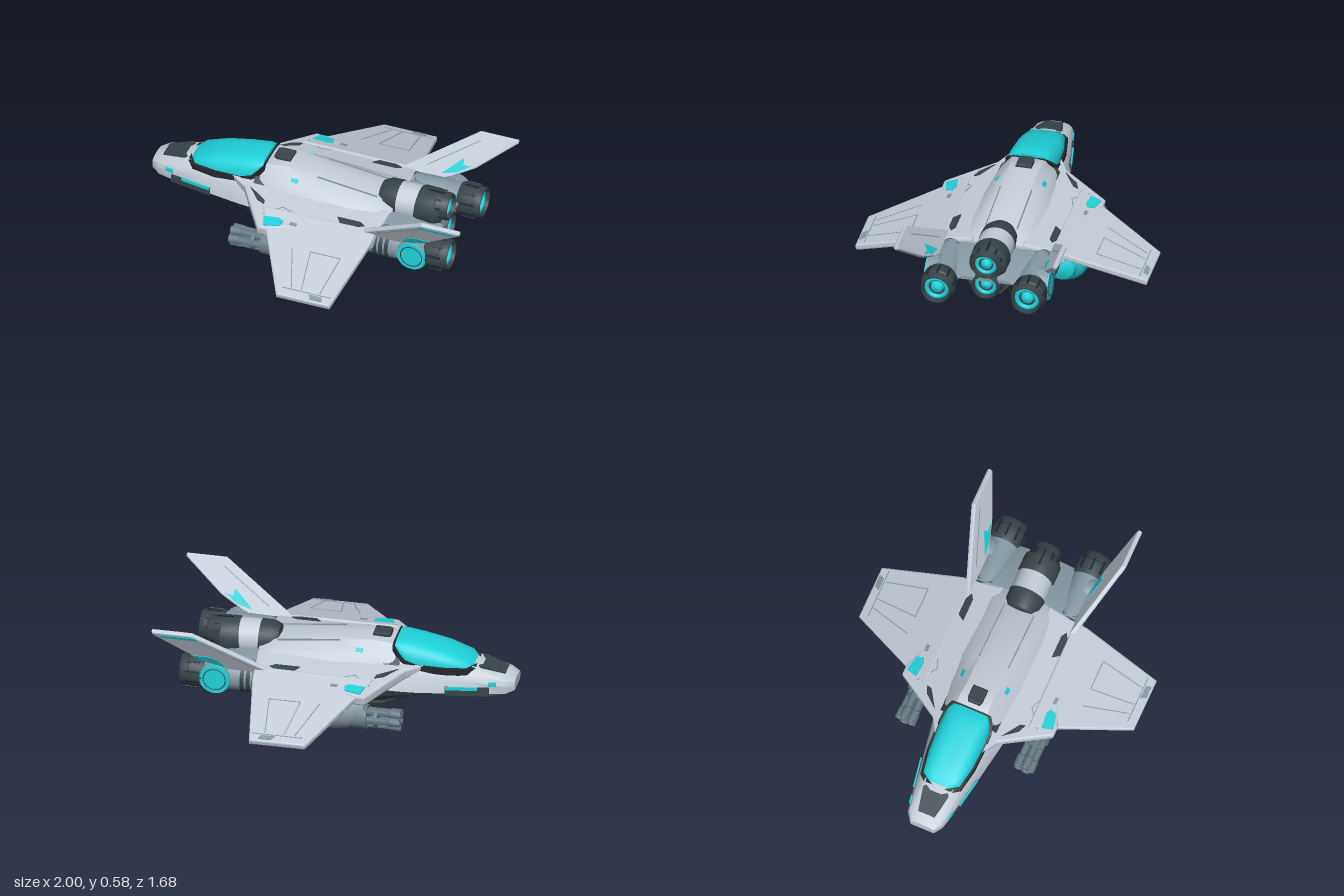
import * as THREE from 'three';
import { toCreasedNormals } from 'three/addons/utils/BufferGeometryUtils.js';

const mat = (name, color) => {
  const m = new THREE.MeshStandardMaterial({ color });
  m.name = name;
  return m;
};
const HULL = mat('pale grey hull', 0xc4cdd8);
const GREY = mat('blue grey trim', 0x879aa5);
const STEEL = mat('gun steel', 0x697b85);
const DARK = mat('dark underside', 0x37444a);
const BLACK = mat('black seams', 0x20272b);
const TEAL = mat('teal glass', 0x20d2dc);

function add(parent, name, geo, material, x = 0, y = 0, z = 0) {
  const m = new THREE.Mesh(geo, material);
  m.name = name;
  m.position.set(x, y, z);
  parent.add(m);
  return m;
}

// Closed skin along x; each half ring runs bottom to top as [z, y]
function loft(stations, crease = 0.5) {
  const pos = [], idx = [];
  const n = stations[0][1].length * 2;
  for (const [x, half] of stations) {
    for (const [z, y] of half) pos.push(x, y, z);
    for (const [z, y] of [...half].reverse()) pos.push(x, y, -z);
  }
  for (let i = 0; i < stations.length - 1; i++)
    for (let j = 0; j < n; j++) {
      const a = i * n + j, b = i * n + (j + 1) % n;
      idx.push(a, a + n, b, b, a + n, b + n);
    }
  const e = (stations.length - 1) * n;
  for (let j = 1; j < n - 1; j++) idx.push(0, j, j + 1, e, e + j + 1, e + j);
  const g = new THREE.BufferGeometry();
  g.setAttribute('position', new THREE.Float32BufferAttribute(pos, 3));
  g.setIndex(idx);
  return toCreasedNormals(g, crease);
}

// Turned part with its axis on x; profile of [x, radius]
function turned(profile, sides = 28) {
  const g = new THREE.LatheGeometry(profile.map(([x, r]) => new THREE.Vector2(r, x)), sides);
  return toCreasedNormals(g.rotateZ(-Math.PI / 2), 0.55);
}

// Flat plate from an x/z outline, centred on y = 0
function plate(points, t, bevel = 0) {
  const shape = new THREE.Shape(points.map(p => new THREE.Vector2(...p)));
  const g = new THREE.ExtrudeGeometry(shape, {
    depth: t - 2 * bevel, bevelEnabled: bevel > 0, bevelSize: bevel,
    bevelThickness: bevel, bevelOffset: -bevel, bevelSegments: 2,
  });
  return g.translate(0, 0, bevel - t / 2).rotateX(Math.PI / 2);
}

// Thin line between two x/z points
function seam(parent, x1, z1, x2, z2, y) {
  const m = add(parent, 'panelSeam', new THREE.BoxGeometry(Math.hypot(x2 - x1, z2 - z1), 0.003, 0.005),
    GREY, (x1 + x2) / 2, y, (z1 + z2) / 2);
  m.rotation.y = -Math.atan2(z2 - z1, x2 - x1);
}

// Engine exhaust ending at x = 0
function nozzle(parent, name, r, len, x, y, z) {
  const g = new THREE.Group();
  g.name = name;
  g.position.set(x, y, z);
  parent.add(g);
  add(g, 'nozzleShell', turned([[-len, 0], [-len, r * 0.88], [-len * 0.85, r], [-len * 0.35, r], [-len * 0.3, r * 0.94],
    [-0.01, r * 0.92], [0, r * 0.86], [0, r * 0.78], [-0.05, r * 0.7], [-0.05, 0]]), DARK);
  add(g, 'glowRing', new THREE.TorusGeometry(r * 0.6, r * 0.14, 8, 28).rotateY(Math.PI / 2), TEAL, -0.03);
  add(g, 'glowCore', turned([[-0.05, r * 0.4], [-0.03, r * 0.34], [-0.015, 0]]), TEAL);
  for (let i = 0; i < 10; i++) {
    const a = i * Math.PI / 5;
    const rib = add(g, 'nozzleRib', new THREE.BoxGeometry(len * 0.55, 0.006, 0.012), BLACK,
      -len * 0.5, Math.cos(a) * r, Math.sin(a) * r);
    rib.rotation.x = a;
  }
}

function buildSide(side) {
  // Wing root and main wing, sloping down
  const root = new THREE.Group();
  root.name = 'wingRoot';
  root.position.y = 0.35;
  root.rotation.x = 0.2;
  side.add(root);
  add(root, 'rootArmour', plate([[-0.5, 0.14], [-0.4, 0.2], [-0.22, 0.47], [-0.16, 0.47], [-0.04, 0.42],
    [0.44, 0.39], [0.46, 0.14]], 0.066, 0.014), HULL);
  add(root, 'rootLight', plate([[-0.21, 0.385], [-0.12, 0.375], [-0.09, 0.39], [-0.1, 0.43], [-0.19, 0.45]], 0.009),
    TEAL, 0, 0.034);
  add(root, 'rootMark', plate([[-0.05, 0.385], [-0.01, 0.385], [-0.01, 0.405], [-0.05, 0.405]], 0.008), GREY, 0, 0.034);
  add(root, 'rootVent', plate([[0.19, 0.27], [0.33, 0.27], [0.36, 0.29], [0.32, 0.31], [0.22, 0.31]], 0.009), DARK, 0, 0.034);
  add(root, 'frontVent', plate([[-0.36, 0.2], [-0.25, 0.27], [-0.24, 0.3], [-0.29, 0.28]], 0.009), DARK, 0, 0.034);
  seam(root, -0.23, 0.37, -0.13, 0.29, 0.033);
  seam(root, -0.13, 0.29, -0.07, 0.31, 0.033);

  const wing = new THREE.Group();
  wing.name = 'wing';
  wing.position.y = 0.415;
  wing.rotation.x = 0.3217;
  side.add(wing);
  add(wing, 'wingPanel', plate([[-0.24, 0.33], [-0.17, 0.48], [0.04, 0.885], [0.36, 0.885], [0.44, 0.4], [0.44, 0.32]],
    0.038, 0.01), HULL);
  add(wing, 'tipMark', plate([[0.22, 0.84], [0.3, 0.84], [0.31, 0.87], [0.24, 0.87]], 0.006), GREY, 0, 0.02);
  for (const y of [0.019, -0.019]) {
    seam(wing, 0.02, 0.56, 0.11, 0.82, y);
    seam(wing, 0.13, 0.56, 0.17, 0.82, y);
    seam(wing, 0.31, 0.56, 0.28, 0.82, y);
    seam(wing, 0.13, 0.56, 0.31, 0.56, y);
    seam(wing, 0.06, 0.83, 0.35, 0.83, y);
  }

  // Canted tail fin
  const fin = new THREE.Group();
  fin.name = 'tailFin';
  fin.position.set(0, 0.31, 0.315);
  fin.rotation.x = -1.056;
  side.add(fin);
  add(fin, 'finPanel', plate([[0.33, -0.01], [0.77, 0.303], [1, 0.303], [1, 0.282], [0.78, 0.09], [0.66, 0.02],
    [0.58, -0.03]], 0.028, 0.008), HULL);
  add(fin, 'finTipStripe', plate([[0.76, 0.285], [0.98, 0.285], [0.93, 0.262], [0.73, 0.262]], 0.005), TEAL, 0, -0.014);
  add(fin, 'finOuterMark', plate([[0.6, 0.01], [0.65, 0.085], [0.7, 0.105], [0.79, 0.105], [0.73, 0.06], [0.66, 0.03]],
    0.005), TEAL, 0, -0.014);
  add(fin, 'finInnerMark', plate([[0.59, 0.02], [0.7, 0.13], [0.71, 0.09], [0.76, 0.1], [0.68, 0.045]], 0.005), TEAL, 0, 0.014);
  seam(fin, 0.45, 0.05, 0.75, 0.25, -0.014);
  seam(fin, 0.5, 0.05, 0.78, 0.25, 0.014);

  // Side engine with a round intake cap
  add(side, 'engineNacelle', turned([[0.25, 0], [0.25, 0.05], [0.36, 0.085], [0.6, 0.09], [0.74, 0.09], [0.76, 0]]),
    GREY, 0, 0.24, 0.26);
  for (const x of [0.44, 0.475, 0.51])
    add(side, 'nacelleBand', new THREE.CylinderGeometry(0.092, 0.092, 0.022, 28).rotateZ(Math.PI / 2), DARK, x, 0.235, 0.26);
  nozzle(side, 'sideNozzle', 0.097, 0.15, 0.87, 0.24, 0.26);
  add(side, 'intakeRim', new THREE.CylinderGeometry(0.09, 0.096, 0.07, 28).rotateX(Math.PI / 2), GREY, 0.665, 0.24, 0.315);
  add(side, 'intakeDisc', new THREE.CylinderGeometry(0.086, 0.089, 0.009, 28).rotateX(Math.PI / 2), TEAL, 0.665, 0.24, 0.352);
  add(side, 'intakeRing', new THREE.TorusGeometry(0.064, 0.003, 6, 28), DARK, 0.665, 0.24, 0.356);

  // Underwing pod with glowing dome
  add(side, 'podBody', turned([[-0.2, 0], [-0.2, 0.07], [-0.12, 0.115], [-0.04, 0.128], [0.2, 0.132]]), GREY, 0, 0.147, 0.335);
  add(side, 'podDome', turned([[0.19, 0.128], [0.195, 0.137], [0.23, 0.132], [0.27, 0.11], [0.285, 0.09], [0.33, 0.075],
    [0.345, 0.045], [0.35, 0]]), TEAL, 0, 0.147, 0.335);
  add(side, 'podPylon', new THREE.BoxGeometry(0.4, 0.12, 0.16), DARK, 0.05, 0.21, 0.25);

  // Rotary gun with thick barrels
  const gun = new THREE.Group();
  gun.name = 'rotaryGun';
  gun.position.set(0, 0.11, 0.36);
  side.add(gun);
  for (let i = 0; i < 5; i++) {
    const a = i * Math.PI * 0.4 + 0.3;
    add(gun, 'barrel', turned([[-0.39, 0], [-0.41, 0.014], [-0.41, 0.025], [-0.35, 0.025], [-0.345, 0.02], [-0.15, 0.02]], 12),
      STEEL, 0, Math.cos(a) * 0.04, Math.sin(a) * 0.04);
  }
  for (const [x, r, l] of [[-0.27, 0.056, 0.02], [-0.17, 0.07, 0.1]])
    add(gun, 'gunCollar', new THREE.CylinderGeometry(r, r, l, 18).rotateZ(Math.PI / 2), STEEL, x);

  // Nose side lights and hull vents
  const slot = add(side, 'chinPanel', new THREE.BoxGeometry(0.25, 0.05, 0.02), DARK, -0.74, 0.215, 0.142);
  const light = add(side, 'chinLight', new THREE.BoxGeometry(0.18, 0.018, 0.009), TEAL, -0.71, 0.234, 0.156);
  slot.rotation.y = light.rotation.y = -0.17;
  const spot = add(side, 'noseLight', new THREE.BoxGeometry(0.045, 0.024, 0.009), TEAL, -0.88, 0.262, 0.122);
  spot.rotation.y = -0.15;
  const vent = add(side, 'shoulderVent', new THREE.BoxGeometry(0.09, 0.009, 0.045), DARK, -0.31, 0.363, 0.153);
  const mark = add(side, 'shoulderLight', new THREE.BoxGeometry(0.04, 0.009, 0.024), TEAL, -0.12, 0.403, 0.135);
  vent.rotation.x = mark.rotation.x = 0.85;
}

export function createModel() {
  const model = new THREE.Group();
  model.name = 'starfighter';

  // Upper hull: x, chine, shoulder, crown (half width, height)
  const upper = [
    [-1, 0.07, 0.215, 0.075, 0.245, 0.05, 0.272], [-0.95, 0.1, 0.2, 0.11, 0.25, 0.075, 0.295],
    [-0.76, 0.145, 0.2, 0.138, 0.272, 0.085, 0.345], [-0.45, 0.195, 0.2, 0.175, 0.295, 0.1, 0.368],
    [-0.36, 0.21, 0.205, 0.183, 0.303, 0.1, 0.405], [-0.3, 0.22, 0.21, 0.19, 0.31, 0.095, 0.446],
    [-0.18, 0.25, 0.22, 0.2, 0.32, 0.085, 0.452], [0, 0.29, 0.23, 0.21, 0.325, 0.088, 0.43],
    [0.38, 0.29, 0.23, 0.21, 0.325, 0.088, 0.387], [0.46, 0.24, 0.23, 0.18, 0.31, 0.08, 0.35],
  ].map(([x, a, b, c, d, e, f]) => [x, [[a, b], [c, d], [(c + e) / 2 + 0.008, (d + f) / 2 + 0.006], [e, f], [e * 0.4, f + 0.006]]]);
  add(model, 'upperHull', loft(upper, 0.6), HULL);

  // Dark lower hull and keel: x, half width and height at top, then at bottom
  const box = s => s.map(([x, a, b, c, d]) => [x, [[c, d], [(a + c) / 2 + 0.02, (b + d) / 2 - 0.01], [a, b]]]);
  add(model, 'lowerHull', loft(box([
    [-0.94, 0.08, 0.215, 0.05, 0.185], [-0.86, 0.1, 0.21, 0.07, 0.165], [-0.5, 0.17, 0.21, 0.1, 0.165],
    [-0.25, 0.22, 0.23, 0.12, 0.09], [0.15, 0.27, 0.24, 0.15, 0.06], [0.45, 0.26, 0.25, 0.12, 0.11],
    [0.68, 0.12, 0.27, 0.07, 0.15]])), DARK);
  add(model, 'keel', loft(box([
    [-0.42, 0.09, 0.17, 0.05, 0.14], [-0.25, 0.1, 0.14, 0.075, 0.01], [-0.22, 0.1, 0.14, 0.08, 0],
    [0.19, 0.1, 0.14, 0.08, 0.01], [0.42, 0.1, 0.16, 0.07, 0.085], [0.6, 0.08, 0.2, 0.05, 0.14]])), DARK);
  for (let i = 0; i < 5; i++)
    add(model, 'bellyRib', new THREE.BoxGeometry(0.02, 0.05, 0.34), BLACK, -0.44 + i * 0.05, 0.18 - i * 0.008, 0);

  // Blue grey fairing between the engines
  add(model, 'engineFairing', loft([[0.36, 0.27, 0.23, 0.32], [0.5, 0.26, 0.24, 0.325], [0.62, 0.22, 0.25, 0.31],
    [0.75, 0.17, 0.26, 0.28]].map(([x, w, y0, y1]) => [x, [[w, y0], [w, y1 - 0.015], [w * 0.7, y1]]])), GREY);

  // Canopy: x, half width, sill height, top height, set in a dark sill
  const canopy = [[-0.765, 0.075, 0.33, 0.352], [-0.73, 0.112, 0.332, 0.378], [-0.6, 0.135, 0.335, 0.425],
    [-0.45, 0.143, 0.342, 0.457], [-0.39, 0.14, 0.362, 0.465], [-0.35, 0.13, 0.405, 0.466], [-0.32, 0.108, 0.437, 0.462]];
  add(model, 'canopyGlass', loft(canopy.map(([x, w, y0, y1]) => [x, Array.from({ length: 9 }, (_, k) => {
    const a = k / 8 * Math.PI * 0.46;
    return [w * Math.pow(Math.cos(a), 0.65), y0 + (y1 - y0) * Math.pow(Math.sin(a), 0.85)];
  })]), 0.9), TEAL);
  add(model, 'canopySill', loft(canopy.map(([x, w, y0]) => [-0.54 + (x + 0.54) * 1.06,
    [[w + 0.012, y0 - 0.03], [w + 0.012, y0 + 0.008], [w * 0.8, y0 + 0.016]]]), 0.9), BLACK);

  // Nose panel, dorsal hatch and spine seams
  const nosePanel = add(model, 'nosePanel', plate([[-0.08, -0.05], [0.06, -0.078], [0.075, -0.065], [0.055, -0.035],
    [0.055, 0.035], [0.075, 0.065], [0.06, 0.078], [-0.08, 0.05]], 0.009), DARK, -0.865, 0.326, 0);
  nosePanel.rotation.z = 0.257;
  add(model, 'dorsalHatch', plate([[-0.28, -0.035], [-0.26, -0.045], [-0.18, -0.045], [-0.18, 0.045], [-0.26, 0.045],
    [-0.28, 0.035]], 0.03, 0.006), DARK, 0, 0.462, 0);
  for (const z of [-0.09, 0.09]) {
    const line = add(model, 'spineSeam', new THREE.BoxGeometry(0.36, 0.008, 0.006), GREY, 0.18, 0.41, z);
    line.rotation.z = -0.112;
  }

  // Stacked centre engines
  add(model, 'engineCollar', turned([[0.34, 0], [0.36, 0.085], [0.4, 0.103], [0.47, 0.106], [0.47, 0]]), DARK, 0, 0.348, 0);
  add(model, 'engineSleeve', turned([[0.44, 0], [0.46, 0.102], [0.59, 0.102], [0.59, 0]]), HULL, 0, 0.348, 0);
  add(model, 'engineShroud', turned([[0.575, 0], [0.575, 0.1], [0.6, 0.11], [0.69, 0.108], [0.73, 0.08], [0.73, 0]]),
    DARK, 0, 0.345, 0);
  nozzle(model, 'upperNozzle', 0.086, 0.18, 0.77, 0.367, 0);
  add(model, 'lowerEngine', turned([[0.4, 0], [0.42, 0.09], [0.64, 0.105], [0.7, 0.09], [0.7, 0]]), DARK, 0, 0.232, 0);
  nozzle(model, 'lowerNozzle', 0.086, 0.18, 0.77, 0.235, 0);

  // Mirrored wings, fins, engines, pods and guns
  for (const s of [1, -1]) {
    const side = new THREE.Group();
    side.name = s > 0 ? 'leftSide' : 'rightSide';
    buildSide(side);
    side.scale.z = s;
    model.add(side);
  }
  return model;
}
